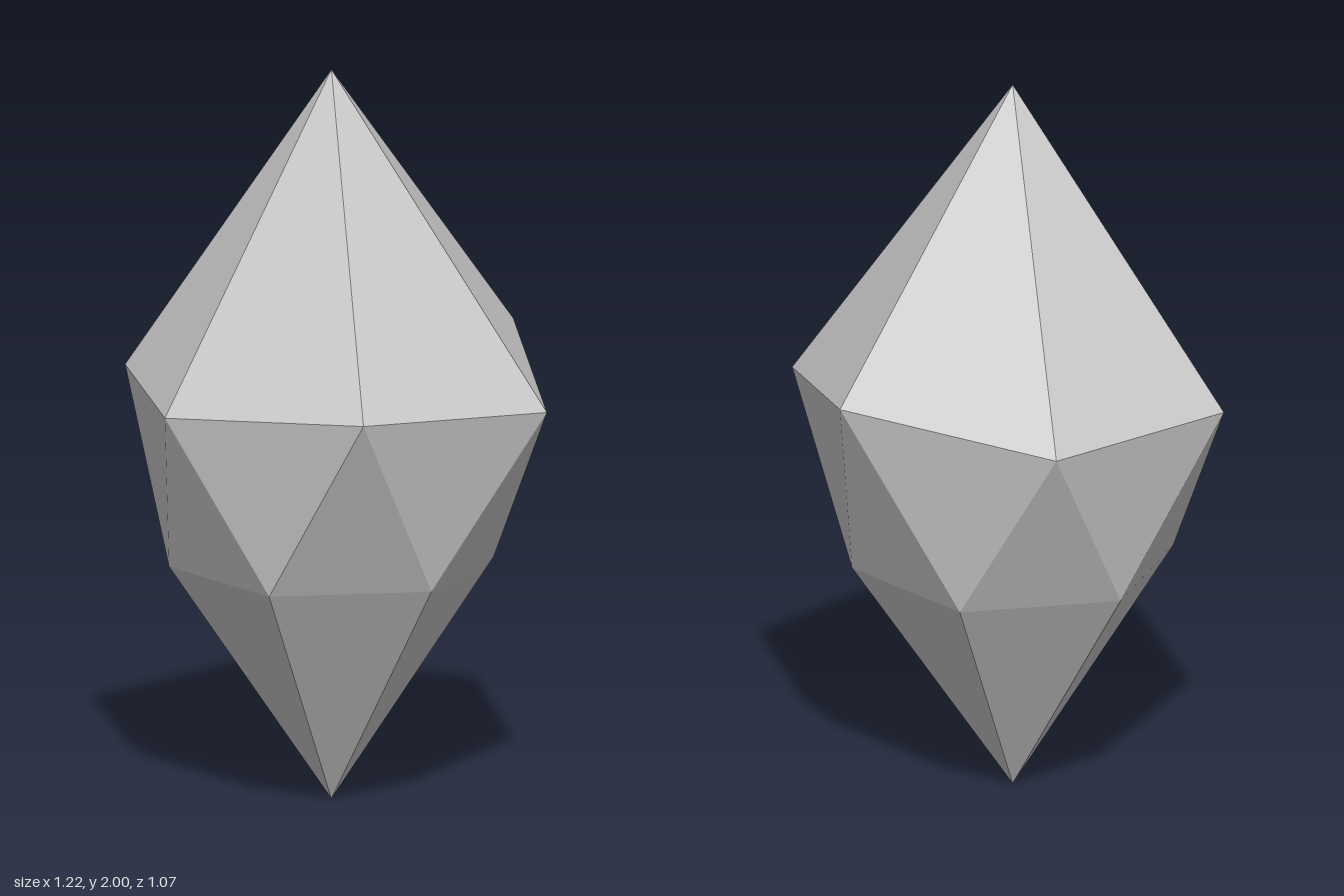
import * as THREE from 'three';

export function createModel() {
  const group = new THREE.Group();
  const axis = [-0.014, -0.004];
  const tip = [axis[0], 2, axis[1]];
  const base = [axis[0], 0, axis[1]];

  // Uneven widest ring, stepping round from +x towards +z
  const girdle = [
    [0.607, 1.115, -0.006], [0.3, 1.168, 0.535], [-0.295, 1.125, 0.481],
    [-0.61, 1.137, -0.006], [-0.318, 1.155, -0.535], [0.291, 1.228, -0.538],
  ];
  // Regular lower ring, turned half a step
  const waist = girdle.map((_, i) => {
    const a = ((i + 0.5) * Math.PI) / 3;
    return [axis[0] + 0.437 * Math.cos(a), 0.65, axis[1] + 0.437 * Math.sin(a)];
  });

  // Facets: crown, interlocking middle band, lower point
  const crown = [], band = [], point = [];
  for (let i = 0; i < 6; i++) {
    const j = (i + 1) % 6;
    crown.push(tip, girdle[j], girdle[i]);
    band.push(girdle[i], girdle[j], waist[i], waist[i], girdle[j], waist[j]);
    point.push(base, waist[i], waist[j]);
  }

  const material = new THREE.MeshStandardMaterial({ color: 0xcccccc, flatShading: true });
  const addFacets = (name, corners) => {
    const geometry = new THREE.BufferGeometry();
    geometry.setAttribute('position', new THREE.Float32BufferAttribute(corners.flat(), 3));
    geometry.computeVertexNormals();
    const mesh = new THREE.Mesh(geometry, material);
    mesh.name = name;
    group.add(mesh);
  };
  addFacets('crystalCrown', crown);
  addFacets('crystalBand', band);
  addFacets('crystalPoint', point);

  group.name = 'crystal';
  return group;
}
